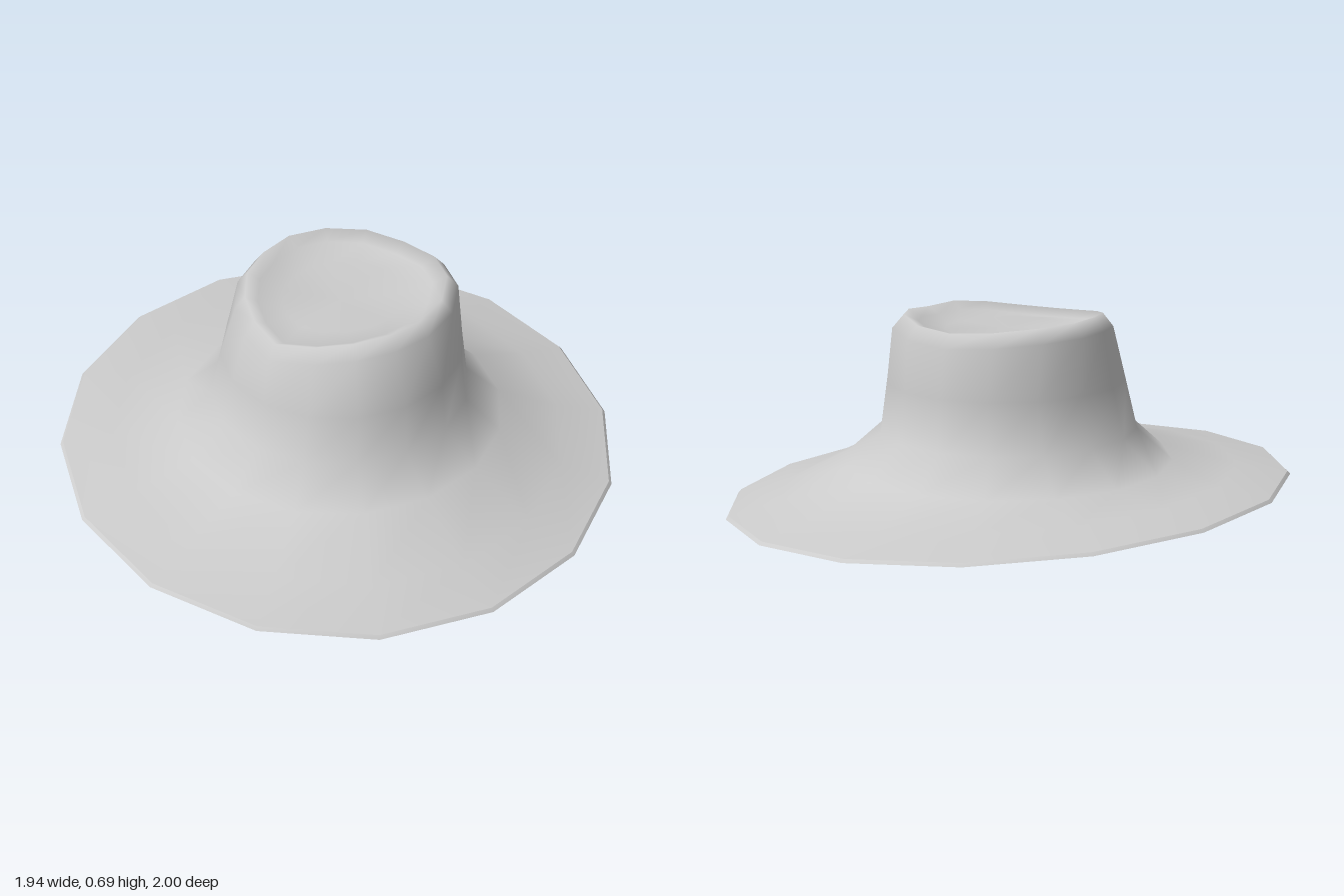
import * as THREE from 'three';

const SIDES = 16;

// Elliptical ring with its own height, tilted along x (positive tilt lowers the +x side)
const oval = (rx, rz, y, tilt = 0, shiftX = 0) => (k, a) => {
  const x = rx * Math.cos(a) + shiftX;
  return [x, y - tilt * x, rz * Math.sin(a)];
};

// Crown outline: a pinched front (+z) and a fuller back, starting at +x and turning to +z
const OUTLINE = [0.36, 0.355, 0.35, 0.355, 0.385, 0.36, 0.355, 0.36,
  0.365, 0.39, 0.405, 0.42, 0.42, 0.42, 0.405, 0.385];
const RIM_Y = [0.68, 0.685, 0.675, 0.66, 0.65, 0.66, 0.675, 0.69,
  0.695, 0.695, 0.69, 0.68, 0.67, 0.68, 0.695, 0.69];
const crownRing = (scale, height) => (k, a) => [
  OUTLINE[k] * scale * Math.cos(a), height(k), OUTLINE[k] * scale * Math.sin(a),
];

// Skins a list of rings, closing the last one with a centre point if given
function skin(name, rings, faceUp, centre) {
  const pos = [], index = [];
  const tri = (a, b, c) => (faceUp ? index.push(a, c, b) : index.push(a, b, c));
  for (const ring of rings) {
    for (let k = 0; k < SIDES; k++) pos.push(...ring(k, (k / SIDES) * Math.PI * 2));
  }
  for (let i = 0; i < rings.length - 1; i++) {
    for (let k = 0; k < SIDES; k++) {
      const a = i * SIDES + k, b = i * SIDES + ((k + 1) % SIDES);
      tri(a, b, a + SIDES);
      tri(b, b + SIDES, a + SIDES);
    }
  }
  if (centre) {
    const last = (rings.length - 1) * SIDES, c = rings.length * SIDES;
    pos.push(...centre);
    for (let k = 0; k < SIDES; k++) tri(last + k, last + ((k + 1) % SIDES), c);
  }
  const geo = new THREE.BufferGeometry();
  geo.setAttribute('position', new THREE.Float32BufferAttribute(pos, 3));
  geo.setIndex(index);
  geo.computeVertexNormals();
  const mesh = new THREE.Mesh(geo, new THREE.MeshStandardMaterial({ color: 0xcccccc }));
  mesh.name = name;
  return mesh;
}

export function createModel() {
  const hat = new THREE.Group();
  hat.name = 'hat';
  const TILT = 0.072;

  // Thin bevelled edge of the brim
  hat.add(skin('brimEdge', [
    oval(0.97, 1, 0.078, TILT),
    oval(0.96, 0.99, 0.088, TILT),
  ], true));

  // Upper brim flowing into the crown, with a sunken top
  hat.add(skin('brimAndCrown', [
    oval(0.96, 0.99, 0.088, TILT),
    oval(0.79, 0.81, 0.12, TILT),
    oval(0.57, 0.58, 0.18),
    oval(0.445, 0.46, 0.29),
    oval(0.412, 0.428, 0.46, 0, 0.01),
    crownRing(1, k => RIM_Y[k] - 0.045),
    crownRing(0.9, k => RIM_Y[k]),
    crownRing(0.78, k => RIM_Y[k] - 0.025),
    crownRing(0.55, () => 0.637),
  ], true, [0, 0.632, 0]));

  // Underside of the brim, bulging slightly towards the head opening
  hat.add(skin('brimUnderside', [
    oval(0.97, 1, 0.078, TILT),
    oval(0.72, 0.74, 0.07, TILT),
    oval(0.5, 0.51, 0.064, TILT),
    oval(0.415, 0.425, 0.074, TILT),
  ], false));

  // Small lip around the head opening
  hat.add(skin('openingLip', [
    oval(0.415, 0.425, 0.074, TILT),
    oval(0.41, 0.42, 0.05, TILT),
    oval(0.4, 0.41, 0.05, TILT),
  ], false));

  // Hollow inside the crown
  hat.add(skin('crownInside', [
    oval(0.4, 0.41, 0.05, TILT),
    oval(0.395, 0.405, 0.2),
    oval(0.38, 0.39, 0.34),
    oval(0.32, 0.33, 0.37),
  ], false, [0, 0.38, 0]));

  return hat;
}
